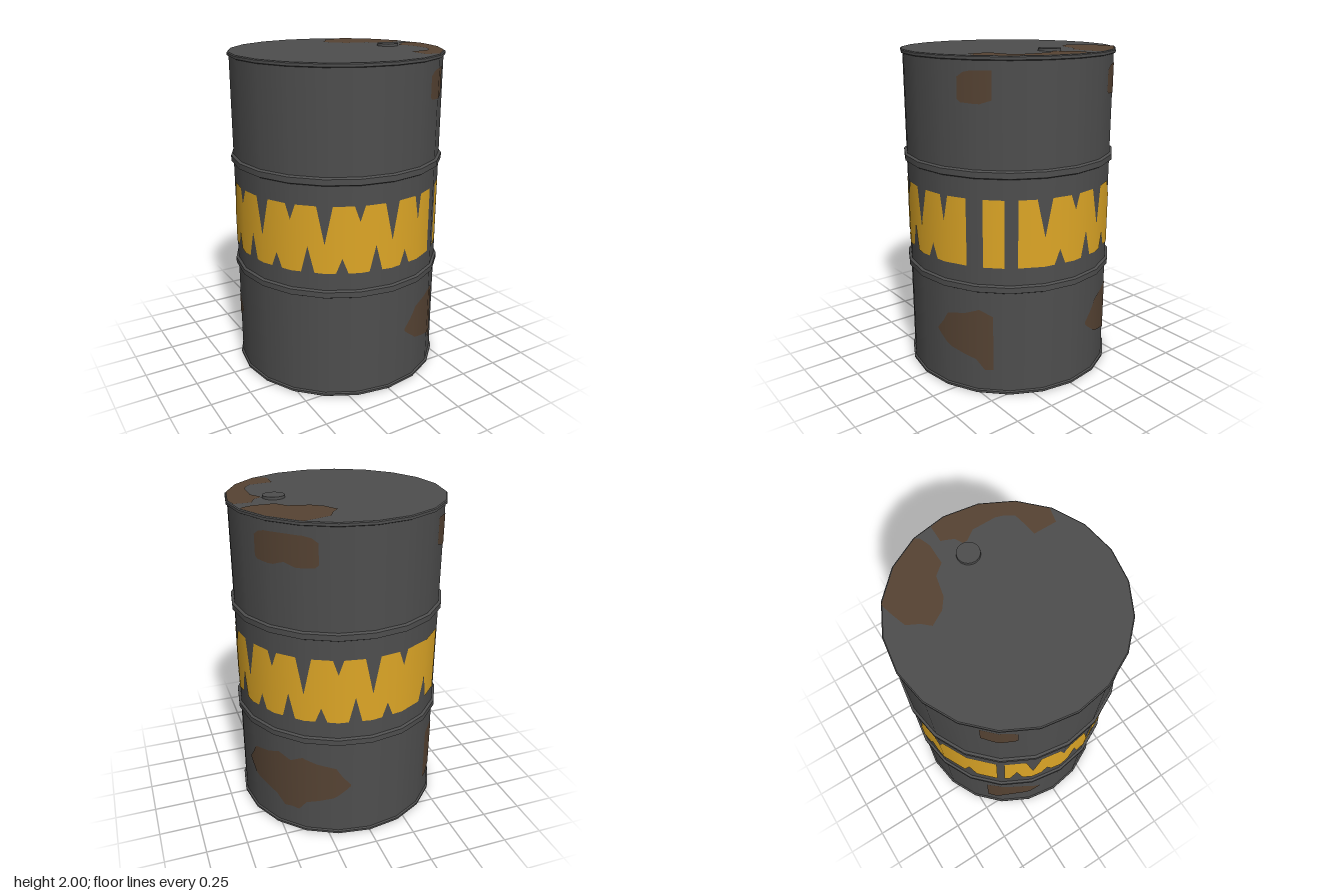
import * as THREE from 'three';

const SIDES = 20, STEP = 360 / SIDES, R = 0.635;

const steel = new THREE.MeshStandardMaterial({ color: 0x4e4e4e });
steel.name = 'dark steel';
const yellow = new THREE.MeshStandardMaterial({ color: 0xdda626 });
yellow.name = 'warning yellow';
const rust = new THREE.MeshStandardMaterial({ color: 0x564333 });
rust.name = 'rust brown';

function add(parent, name, geometry, material) {
  const mesh = new THREE.Mesh(geometry, material);
  mesh.name = name;
  parent.add(mesh);
  return mesh;
}

// Stack of open frustums: smooth around, crisp between profile points [radius, y]
function hoop(parent, name, profile) {
  const group = new THREE.Group();
  group.name = name;
  for (let i = 0; i + 1 < profile.length; i++) {
    const [r0, y0] = profile[i], [r1, y1] = profile[i + 1];
    const g = new THREE.CylinderGeometry(r1, r0, y1 - y0, SIDES, 1, true);
    add(group, name + 'Face', g.translate(0, (y0 + y1) / 2, 0), steel);
  }
  parent.add(group);
}

// Linear interpolation along points [angle, y]
function heightAt(points, a) {
  for (let i = 0; i + 1 < points.length; i++) {
    const [a0, y0] = points[i], [a1, y1] = points[i + 1];
    if (a <= a1) return y0 + (y1 - y0) * Math.max(0, (a - a0) / (a1 - a0));
  }
  return points[points.length - 1][1];
}

// Thin painted area lying on the barrel's facets, between two outlines over an angle range
function wrapped(lower, upper, from, to) {
  const stops = [from, to, ...lower.map(p => p[0]), ...upper.map(p => p[0])];
  for (let a = Math.ceil(from / STEP) * STEP; a < to; a += STEP) stops.push(a);
  const angles = [...new Set(stops)].filter(a => a >= from && a <= to).sort((a, b) => a - b);
  const pos = [], nor = [], idx = [];
  angles.forEach((a, i) => {
    const t = THREE.MathUtils.degToRad(a), half = Math.PI / SIDES;
    const local = THREE.MathUtils.degToRad(THREE.MathUtils.euclideanModulo(a, STEP)) - half;
    const r = (R + 0.003) * Math.cos(half) / Math.cos(local);
    for (const line of [lower, upper]) {
      pos.push(r * Math.sin(t), heightAt(line, a), r * Math.cos(t));
      nor.push(Math.sin(t), 0, Math.cos(t));
    }
    if (i) {
      const k = 2 * i;
      idx.push(k - 2, k, k + 1, k - 2, k + 1, k - 1);
    }
  });
  const g = new THREE.BufferGeometry();
  g.setAttribute('position', new THREE.Float32BufferAttribute(pos, 3));
  g.setAttribute('normal', new THREE.Float32BufferAttribute(nor, 3));
  g.setIndex(idx);
  return g;
}

// Yellow band with worn, tooth-shaped chips along both edges
function makeBand(parent) {
  const TOP = 1.21, BOTTOM = 0.81;
  const upper = [[58, TOP]], lower = [[58, BOTTOM]];
  const chip = (line, edge, a, half, tip) => line.push([a - half, edge], [a, tip], [a + half, edge]);
  for (let k = 4; k <= 21; k++) {
    const a = k * STEP, deep = k % 2 === 0;
    if (k === 21) chip(upper, TOP, a, 2.4, 1.06);
    else if (k !== 12 && k !== 13) chip(upper, TOP, a, deep ? 4.2 : 2.8, deep ? 0.985 : 1.12);
    if (k === 12) chip(lower, BOTTOM, 216, 3.8, 0.968);
    else if (k !== 11 && k !== 21) chip(lower, BOTTOM, a + 9, deep ? 3.2 : 3.6, deep ? 0.9 : 0.968);
  }
  upper.push([391, TOP]);
  lower.push([391, BOTTOM]);
  add(parent, 'bandBack', wrapped(lower, upper, 58, 232), yellow);
  add(parent, 'bandFront', wrapped(lower, upper, 236, 391), yellow);
  add(parent, 'bandStripe', wrapped([[40, BOTTOM], [51, BOTTOM]], [[40, TOP], [51, TOP]], 40, 51), yellow);
}

// Rust stains on the wall: half outlines by distance from a seam, mirrored across it
const STAINS = [
  {
    name: 'lowerRust', width: 34,
    upper: [[0, 0.504], [7.5, 0.546], [15.6, 0.509], [26, 0.488], [29.6, 0.424], [34, 0.366]],
    lower: [[0, 0.159], [4.5, 0.154], [9.3, 0.223], [16, 0.239], [24.5, 0.27], [32, 0.334], [34, 0.356]],
  },
  {
    name: 'upperRust', width: 17.7,
    upper: [[0, 1.909], [10, 1.909], [14.4, 1.898], [17.7, 1.872]],
    lower: [[0, 1.755], [6, 1.734], [16, 1.739], [17.7, 1.755]],
  },
];

function makeWallRust(parent) {
  for (const [seam, side] of [[45, -1], [135, -1], [135, 1], [225, 1]]) {
    for (const s of STAINS) {
      const place = line => {
        const moved = line.map(([d, y]) => [seam + side * d, y]);
        return side < 0 ? moved.reverse() : moved;
      };
      const end = seam + side * s.width;
      add(parent, s.name, wrapped(place(s.lower), place(s.upper), Math.min(seam, end), Math.max(seam, end)), rust);
    }
  }
}

// Rust stains on both ends, outlined as [x, z]
const END_STAINS = [
  [[0.118, -0.369], [0.16, -0.415], [0.195, -0.484], [0.28, -0.512], [0.36, -0.533], [0.374, -0.515],
    [0.515, -0.374], [0.606, -0.197], [0.592, -0.175], [0.526, -0.15], [0.404, -0.15], [0.352, -0.213],
    [0.23, -0.24], [0.167, -0.286]],
  [[0.519, -0.09], [0.621, -0.09], [0.637, 0], [0.606, 0.197], [0.515, 0.374], [0.38, 0.508], [0.293, 0.49],
    [0.293, 0.352], [0.36, 0.343], [0.44, 0.327], [0.474, 0.275], [0.488, 0.23], [0.488, 0.09], [0.446, 0.03],
    [0.446, 0.004], [0.49, -0.02], [0.51, -0.066]],
];

function makeEndRust(parent) {
  for (const outline of END_STAINS) {
    for (const up of [1, -1]) {
      const shape = new THREE.Shape(outline.map(([x, z]) => new THREE.Vector2(x, -up * z)));
      const g = new THREE.ShapeGeometry(shape).rotateX(-up * Math.PI / 2);
      add(parent, up > 0 ? 'lidRust' : 'baseRust', g.translate(0, up > 0 ? 1.987 : 0, 0), rust);
    }
  }
}

export function createModel() {
  const barrel = new THREE.Group();
  barrel.name = 'barrel';

  // Wall, end rims and rolling hoops
  hoop(barrel, 'wall', [[R, 0.01], [R, 1.975]]);
  hoop(barrel, 'bottomRim', [[0.64, 0.002], [0.646, 0.007], [0.646, 0.02], [R, 0.025]]);
  hoop(barrel, 'topRim', [[R, 1.96], [0.646, 1.965], [0.646, 1.98], [0.64, 1.985]]);
  for (const y of [0.68, 1.352]) {
    hoop(barrel, 'rollingHoop', [[R, y - 0.025], [0.65, y - 0.017], [0.65, y + 0.017], [R, y + 0.025]]);
  }

  // Flat ends
  const disc = () => new THREE.CircleGeometry(0.64, SIDES);
  add(barrel, 'lid', disc().rotateX(-Math.PI / 2).translate(0, 1.985, 0), steel);
  add(barrel, 'base', disc().rotateX(Math.PI / 2).translate(0, 0.002, 0), steel);

  // Filler cap
  add(barrel, 'fillerCap', new THREE.CylinderGeometry(0.064, 0.066, 0.02, 24), steel).position.set(0.375, 1.99, -0.005);

  makeBand(barrel);
  makeWallRust(barrel);
  makeEndRust(barrel);
  return barrel;
}
